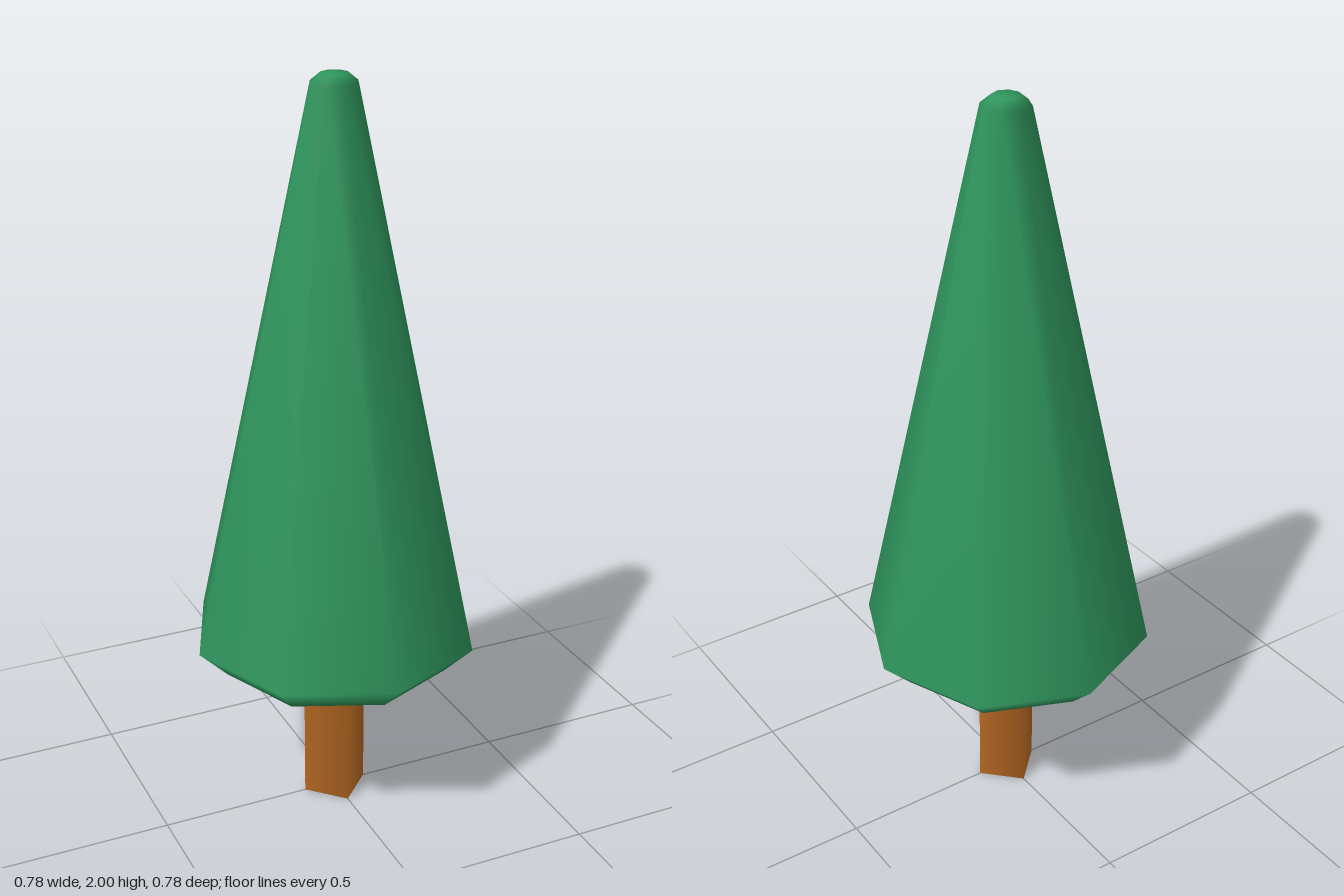
import * as THREE from 'three';
import { mergeVertices } from 'three/addons/utils/BufferGeometryUtils.js';

function material(name, color) {
  const m = new THREE.MeshStandardMaterial({ color });
  m.name = name;
  return m;
}

// Eight-sided solid of revolution with shared, area-weighted smooth normals
function smoothLathe(profile, sides) {
  const points = profile.map(([r, y]) => new THREE.Vector2(r, y));
  const geo = new THREE.LatheGeometry(points, sides);
  geo.deleteAttribute('normal');
  geo.deleteAttribute('uv');
  const merged = mergeVertices(geo, 1e-4);
  merged.computeVertexNormals();
  return merged;
}

export function createModel() {
  const tree = new THREE.Group();
  tree.name = 'tree';

  // Foliage: tall cone with a bevelled base and a blunt tip
  const profile = [[0, 0.43], [0.315, 0.43], [0.39, 0.505], [0.063, 1.977], [0.035, 2], [0, 2]];
  const foliage = new THREE.Mesh(smoothLathe(profile, 8), material('leaf green', 0x2f965d));
  foliage.name = 'foliage';
  tree.add(foliage);

  // Trunk: square post set cornerwise, smooth around its sides
  const trunkHeight = 0.45;
  const trunk = new THREE.Mesh(
    new THREE.CylinderGeometry(0.09, 0.09, trunkHeight, 4),
    material('bark brown', 0xb56822)
  );
  trunk.name = 'trunk';
  trunk.position.y = trunkHeight / 2;
  tree.add(trunk);

  return tree;
}
